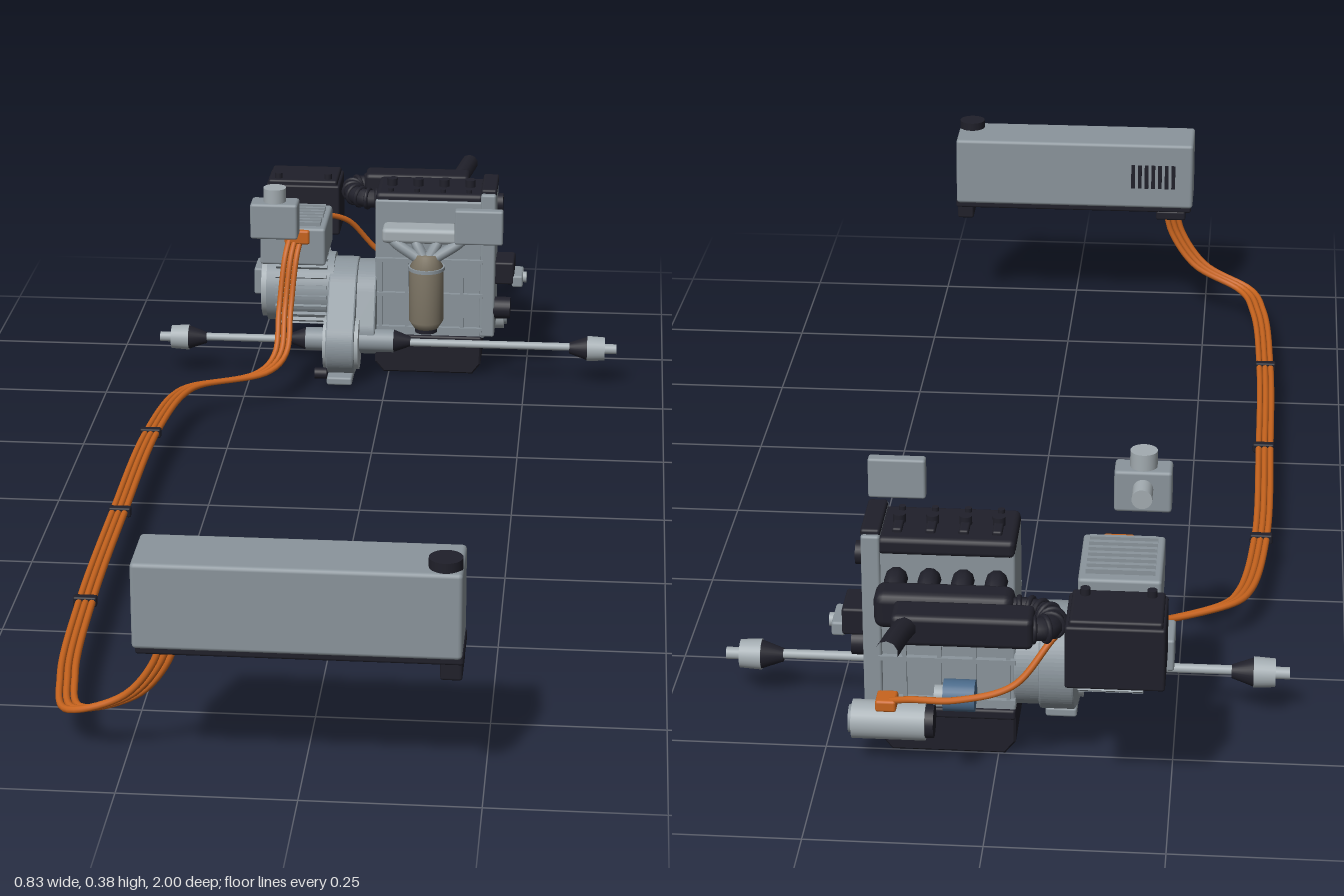
import * as THREE from 'three';
import { RoundedBoxGeometry } from 'three/addons/geometries/RoundedBoxGeometry.js';

const mat = (name, color) => Object.assign(new THREE.MeshStandardMaterial({ color }), { name });
const grey = mat('castAluminium', 0x8b959c);
const light = mat('lightMetal', 0xa3acb1);
const dark = mat('blackPlastic', 0x20202a);
const orange = mat('orangeCable', 0xc8641e);
const tan = mat('heatTintedSteel', 0x7c7464);
const blue = mat('bluePaint', 0x4a6a8a);
const V = (x, y, z) => new THREE.Vector3(x, y, z);

export function createModel() {
  const root = new THREE.Group();
  root.name = 'hybridDrivetrain';

  const add = (name, geo, m, x = 0, y = 0, z = 0, parent = root) => {
    const mesh = new THREE.Mesh(geo, m);
    mesh.name = name;
    mesh.position.set(x, y, z);
    parent.add(mesh);
    return mesh;
  };
  // Box given by its limits on each axis
  const box = (name, m, [x0, x1], [y0, y1], [z0, z1], r = 0.004) => {
    const w = x1 - x0, h = y1 - y0, d = z1 - z0;
    const geo = r ? new RoundedBoxGeometry(w, h, d, 2, r) : new THREE.BoxGeometry(w, h, d);
    return add(name, geo, m, (x0 + x1) / 2, (y0 + y1) / 2, (z0 + z1) / 2);
  };
  // Cylinder along x from x0 to x1, radius r0 to r1
  const cylX = (name, m, x0, x1, y, z, r0, r1 = r0) => {
    const geo = new THREE.CylinderGeometry(r1, r0, x1 - x0, 28).rotateZ(-Math.PI / 2);
    return add(name, geo, m, (x0 + x1) / 2, y, z);
  };
  const cylY = (name, m, y0, y1, x, z, r0, r1 = r0) =>
    add(name, new THREE.CylinderGeometry(r1, r0, y1 - y0, 28), m, x, (y0 + y1) / 2, z);
  const tube = (name, m, pts, r, seg = 40) =>
    add(name, new THREE.TubeGeometry(new THREE.CatmullRomCurve3(pts), seg, r, 10), m);
  // Outline around two circles in the (-z, y) plane, extruded along x
  const housing = (name, m, x0, x1, z1, y1, r1, z2, y2, r2) => {
    const a = Math.atan2(y2 - y1, z1 - z2);
    const p = Math.acos((r1 - r2) / Math.hypot(z2 - z1, y2 - y1));
    const s = new THREE.Shape();
    s.absarc(-z2, y2, r2, a - p, a + p, false);
    s.absarc(-z1, y1, r1, a + p, a - p + Math.PI * 2, false);
    const b = 0.003;
    const geo = new THREE.ExtrudeGeometry(s, { depth: x1 - x0 - 2 * b, bevelThickness: b, bevelSize: b, bevelOffset: -b, bevelSegments: 2, curveSegments: 24 });
    return add(name, geo.rotateY(Math.PI / 2), m, x0 + b, 0, 0);
  };

  // Traction battery
  box('batteryCase', grey, [-0.223, 0.22], [0.215, 0.34], [0.89, 0.995], 0.006);
  box('batteryTray', dark, [-0.22, 0.222], [0.203, 0.22], [0.9, 0.985]);
  box('batteryConnector', dark, [0.19, 0.22], [0.178, 0.206], [0.91, 0.98]);
  box('batteryOutlet', dark, [-0.21, -0.155], [0.188, 0.206], [0.9, 0.935]);
  cylY('batteryCap', dark, 0.338, 0.354, 0.196, 0.968, 0.023);
  for (let i = 0; i < 7; i++) {
    const x = -0.19 + i * 0.0125;
    box('batteryVent', dark, [x, x + 0.007], [0.255, 0.3], [0.887, 0.893], 0);
  }

  // High voltage cables and their clips
  for (const k of [-1, 0, 1]) {
    const path = [[-0.183, 0.205, 0.912], [-0.195, 0.16, 0.911], [-0.24, 0.1, 0.9], [-0.325, 0.063, 0.875],
      [-0.352, 0.062, 0.77], [-0.367, 0.062, 0.52], [-0.37, 0.062, 0.18], [-0.367, 0.062, -0.16],
      [-0.345, 0.062, -0.34], [-0.322, 0.062, -0.385], [-0.21, 0.064, -0.455], [-0.183, 0.085, -0.495],
      [-0.18, 0.15, -0.55], [-0.172, 0.24, -0.585], [-0.165, 0.27, -0.612]];
    tube('highVoltageCable', orange, path.map(([x, y, z]) => V(x + k * 0.01, y, z - k * 0.004)), 0.0052, 160);
  }
  for (const z of [0.52, 0.18, -0.16]) box('cableClip', dark, [-0.386, -0.35], [0.054, 0.07], [z - 0.007, z + 0.007], 0.003);

  // Engine block, ribs and sump
  box('engineBlock', grey, [-0.025, 0.175], [0.07, 0.33], [-0.752, -0.645]);
  box('timingCover', grey, [0.165, 0.192], [0.075, 0.345], [-0.757, -0.64]);
  for (const z of [-0.643, -0.754]) {
    for (const x of [-0.018, 0.03, 0.08, 0.13]) box('blockRib', grey, [x, x + 0.006], [0.085, 0.22], [z - 0.005, z + 0.005], 0);
    for (const y of [0.085, 0.15, 0.215]) box('blockRail', grey, [-0.025, 0.17], [y, y + 0.007], [z - 0.006, z + 0.006], 0);
  }
  box('sumpFlange', dark, [-0.025, 0.17], [0.058, 0.074], [-0.757, -0.64]);
  const sump = new THREE.Shape([[-0.022, 0.066], [-0.022, 0.022], [-0.008, 0.005], [0.152, 0.005], [0.165, 0.022], [0.165, 0.066]].map(p => new THREE.Vector2(...p)));
  add('oilSump', new THREE.ExtrudeGeometry(sump, { depth: 0.106, bevelThickness: 0.003, bevelSize: 0.003, bevelSegments: 1 }), dark, 0, 0, -0.751);
  for (const x of [0.0, 0.045, 0.09, 0.135])
    for (const z of [-0.735, -0.665]) cylY('sumpBolt', dark, 0, 0.006, x, z, 0.004);

  // Valve cover with coils
  box('valveCover', dark, [-0.025, 0.17], [0.315, 0.342], [-0.755, -0.648], 0.008);
  for (let i = 0; i < 4; i++) {
    const x = 0.002 + i * 0.047;
    cylY('ignitionCoil', dark, 0.335, 0.355, x, -0.7, 0.009);
    box('coilConnector', dark, [x - 0.007, x + 0.007], [0.338, 0.348], [-0.735, -0.7], 0.003);
    cylY('coverBolt', dark, 0.335, 0.348, x, -0.662, 0.005);
  }
  box('coverLip', dark, [0.165, 0.193], [0.34, 0.352], [-0.75, -0.65]);

  // Pulleys, mount and compressor at the timing end
  cylX('crankPulley', dark, 0.19, 0.22, 0.126, -0.66, 0.02);
  cylX('camSensor', dark, 0.19, 0.202, 0.305, -0.727, 0.017);
  box('engineMount', dark, [0.19, 0.226], [0.17, 0.212], [-0.725, -0.66]);
  box('mountBracket', grey, [0.222, 0.242], [0.165, 0.187], [-0.72, -0.66]);
  cylX('mountBolt', light, 0.24, 0.248, 0.176, -0.69, 0.01);
  cylX('compressorBody', light, 0.1, 0.205, 0.07, -0.787, 0.028);
  cylX('compressorEnd', grey, 0.2, 0.21, 0.07, -0.787, 0.02);
  cylX('compressorBack', dark, 0.088, 0.102, 0.07, -0.787, 0.024);
  box('compressorTerminal', orange, [0.14, 0.17], [0.094, 0.112], [-0.81, -0.775]);
  cylX('coolantPump', blue, 0.03, 0.075, 0.11, -0.78, 0.023);
  cylX('coolantPumpCap', light, 0.072, 0.088, 0.11, -0.78, 0.014);
  box('coolantPumpFoot', grey, [0.04, 0.07], [0.1, 0.12], [-0.775, -0.75]);

  // Exhaust manifold and catalyst
  box('exhaustManifold', light, [-0.01, 0.152], [0.262, 0.29], [-0.648, -0.6], 0.008);
  for (let i = 0; i < 4; i++)
    tube('exhaustRunner', grey, [V(i * 0.047, 0.275, -0.64), V(0.01 + i * 0.04, 0.265, -0.612), V(0.055 + i * 0.01, 0.238, -0.597)], 0.01, 12);
  const cat = [[0.001, 0.105], [0.022, 0.108], [0.031, 0.122], [0.031, 0.222], [0.018, 0.245], [0.001, 0.245]];
  add('catalyst', new THREE.LatheGeometry(cat.map(p => new THREE.Vector2(...p)), 28), tan, 0.071, 0, -0.596);
  cylY('catalystOutlet', dark, 0.1, 0.11, 0.071, -0.596, 0.02);
  cylY('catalystBand', grey, 0.218, 0.224, 0.071, -0.596, 0.033);

  // Intake plenum, runners, hose and air duct
  box('intakePlenum', dark, [-0.03, 0.165], [0.245, 0.3], [-0.845, -0.795], 0.014);
  for (let i = 0; i < 4; i++)
    tube('intakeRunner', dark, [V(i * 0.047, 0.28, -0.81), V(i * 0.047, 0.292, -0.78), V(i * 0.047, 0.275, -0.745)], 0.015, 12);
  const hose = [V(-0.02, 0.275, -0.825), V(-0.055, 0.275, -0.826), V(-0.082, 0.277, -0.85), V(-0.08, 0.28, -0.885), V(-0.045, 0.282, -0.895)];
  tube('intakeHose', dark, hose, 0.017);
  const hoseCurve = new THREE.CatmullRomCurve3(hose);
  for (let i = 1; i < 9; i++) {
    const rib = add('hoseRib', new THREE.TorusGeometry(0.017, 0.004, 8, 20), dark);
    rib.position.copy(hoseCurve.getPointAt(i / 9));
    rib.lookAt(rib.position.clone().add(hoseCurve.getTangentAt(i / 9)));
  }
  box('airFilterBox', dark, [-0.062, 0.132], [0.262, 0.308], [-0.92, -0.868], 0.008);
  tube('airSnorkel', dark, [V(0.105, 0.287, -0.89), V(0.116, 0.292, -0.935), V(0.127, 0.296, -0.998)], 0.016, 20);

  // Auxiliary battery
  box('auxiliaryBattery', dark, [-0.242, -0.105], [0.205, 0.3], [-0.918, -0.815]);
  box('auxiliaryBatteryLid', dark, [-0.238, -0.11], [0.296, 0.308], [-0.914, -0.82]);
  for (const x of [-0.22, -0.128]) cylY('batteryTerminal', dark, 0.305, 0.318, x, -0.835, 0.007);

  // Electric motor with cooling ribs
  const my = 0.15, mz = -0.685;
  cylX('electricMotor', grey, -0.222, -0.1, my, mz, 0.064);
  for (let i = 0; i < 22; i++) {
    const a = (i / 22) * Math.PI * 2;
    const rib = box('motorRib', grey, [-0.205, -0.112], [0, 0.008], [0, 0.006], 0);
    rib.position.set(-0.1585, my + Math.sin(a) * 0.066, mz + Math.cos(a) * 0.066);
    rib.rotation.x = Math.PI / 2 - a;
  }
  cylX('motorEndPlate', light, -0.232, -0.22, my, mz, 0.058);
  box('motorConnector', grey, [-0.249, -0.228], [0.135, 0.185], [-0.735, -0.67]);

  // Inverter with ribbed lid
  box('inverter', grey, [-0.23, -0.112], [0.215, 0.285], [-0.748, -0.605], 0.005);
  for (let i = 0; i < 7; i++) {
    const z = -0.73 + i * 0.017;
    box('inverterFin', grey, [-0.22, -0.122], [0.283, 0.292], [z, z + 0.007], 0);
  }
  box('cableSocket', orange, [-0.185, -0.14], [0.257, 0.283], [-0.609, -0.597]);
  tube('compressorCable', orange, [V(-0.145, 0.25, -0.74), V(-0.138, 0.255, -0.775), V(-0.09, 0.235, -0.815),
    V(-0.03, 0.165, -0.843), V(0.05, 0.135, -0.838), V(0.12, 0.12, -0.815), V(0.155, 0.105, -0.795)], 0.005, 60);

  // Gearbox, final drive and bell housing
  housing('gearHousing', grey, -0.108, -0.057, -0.607, 0.072, 0.058, -0.682, 0.128, 0.078);
  housing('bellHousing', grey, -0.06, -0.022, -0.64, 0.085, 0.045, -0.69, 0.13, 0.07);
  cylX('finalDrive', light, -0.114, -0.05, 0.07, -0.605, 0.048);
  box('gearboxFoot', grey, [-0.106, -0.06], [0.005, 0.02], [-0.65, -0.555]);
  cylX('drainSensor', dark, -0.128, -0.106, 0.025, -0.563, 0.01);

  // Drive shafts, boots and hub joints
  const sy = 0.07, sz = -0.61;
  cylX('driveShaft', light, -0.4, 0.4, sy + 0.002, sz, 0.007);
  cylX('leftInnerJoint', grey, -0.055, 0.012, sy + 0.004, sz, 0.021);
  cylX('leftInnerBoot', dark, 0.01, 0.042, sy + 0.004, sz, 0.021, 0.009);
  cylX('rightInnerJoint', grey, -0.148, -0.105, sy + 0.004, sz, 0.021);
  cylX('rightInnerBoot', dark, -0.176, -0.146, sy + 0.004, sz, 0.009, 0.021);
  for (const s of [-1, 1]) {
    const span = (name, m, a, b, ra, rb) => s > 0 ? cylX(name, m, a, b, sy, sz, ra, rb) : cylX(name, m, -b, -a, sy, sz, rb, ra);
    span('outerBoot', dark, 0.33, 0.364, 0.01, 0.022);
    span('outerJoint', light, 0.362, 0.394, 0.023, 0.021);
    span('hubStub', light, 0.392, 0.415, 0.009, 0.009);
  }

  // Brake booster unit and control unit, mounted apart
  box('brakeUnit', grey, [-0.236, -0.152], [0.295, 0.36], [-0.553, -0.507], 0.005);
  cylY('brakeFluidCap', light, 0.358, 0.385, -0.194, -0.53, 0.02);
  const rod = add('brakeCylinder', new THREE.CylinderGeometry(0.015, 0.015, 0.04, 24), light, -0.194, 0.333, -0.568);
  rod.rotation.x = Math.PI / 2;
  box('controlUnit', grey, [0.125, 0.21], [0.293, 0.356], [-0.53, -0.511], 0.004);

  return root;
}
